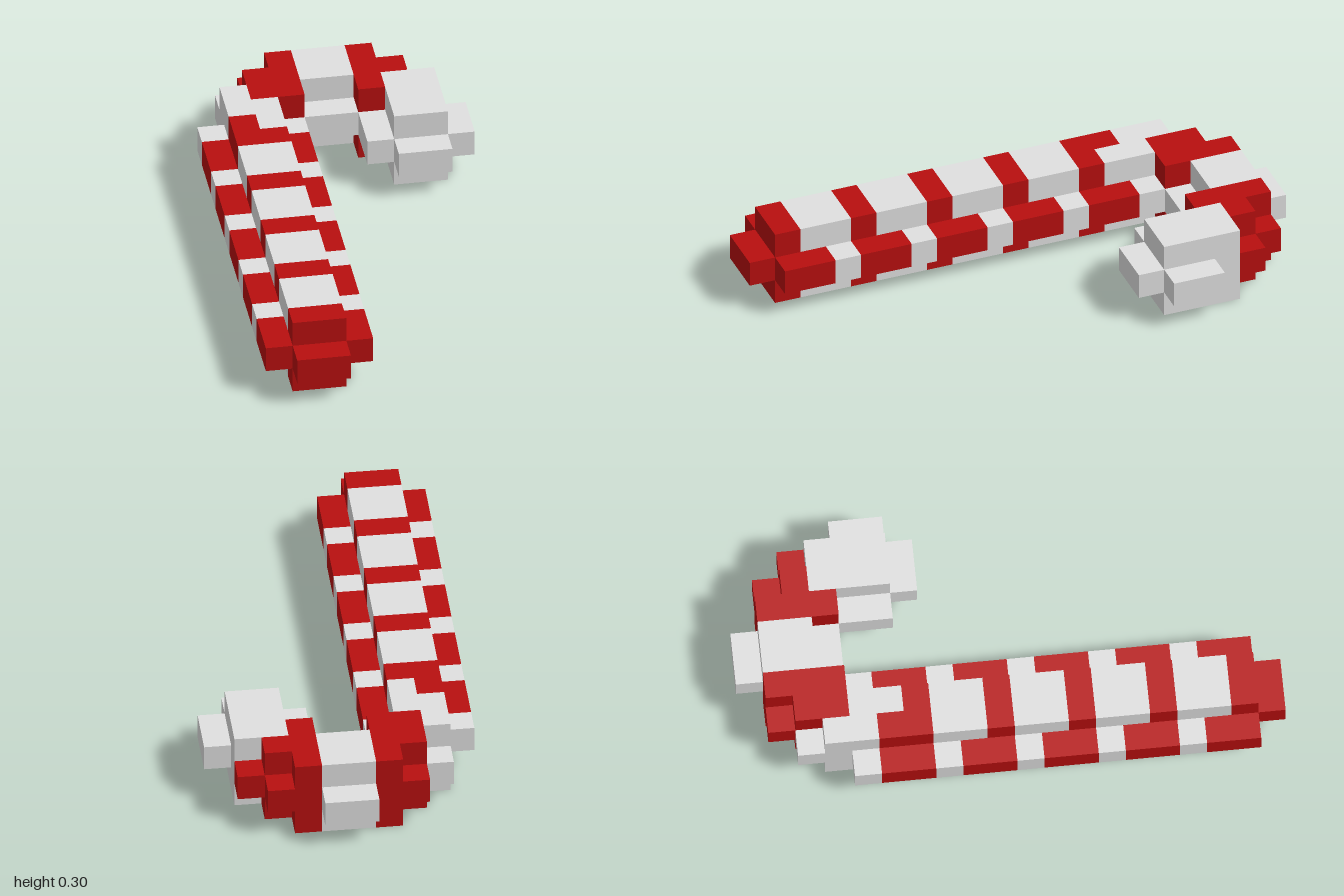
import * as THREE from 'three';

export function createModel() {
  const model = new THREE.Group();
  model.name = 'candyCane';
  const red = new THREE.MeshStandardMaterial({ color: 0xb80f0f });
  red.name = 'candy red';
  const white = new THREE.MeshStandardMaterial({ color: 0xe0e0e0 });
  white.name = 'sugar white';

  // Block between two x and two z bounds, given in tenths of a unit
  const block = (name, mat, x0, x1, z0, z1, y0, y1) => {
    const geo = new THREE.BoxGeometry((x1 - x0) / 10, (y1 - y0) / 10, (z1 - z0) / 10);
    const mesh = new THREE.Mesh(geo, mat);
    mesh.position.set((x0 + x1) / 20, (y0 + y1) / 20, (z0 + z1) / 20);
    mesh.name = name;
    model.add(mesh);
  };
  // Full height core, and the middle layer that rounds it off
  const core = (name, mat, x0, x1, z0, z1) => block(name, mat, x0, x1, z0, z1, 0, 3);
  const ridge = (name, mat, x0, x1, z0, z1) => block(name, mat, x0, x1, z0, z1, 1, 2);

  // Striped shaft, with the side ridges' stripes trailing back
  for (const z of [8, 5, 2, -1, -4]) {
    core('shaftRedStripe', red, -4, -2, z, z + 1);
    if (z > -4) core('shaftWhiteStripe', white, -4, -2, z - 2, z);
    for (const x of [-5, -2]) {
      ridge('sideRedStripe', red, x, x + 1, z - 1, z + 1);
      ridge('sideWhiteStripe', white, x, x + 1, z - 2, z - 1);
    }
  }
  ridge('shaftTip', red, -4, -2, 9, 10);

  // Slanted stripes where the shaft starts to bend
  core('bendRedStripe', red, -4, -3, -5, -4);
  core('bendWhiteInner', white, -3, -2, -6, -4);
  core('bendWhiteOuter', white, -4, -3, -7, -5);
  ridge('bendWhiteCorner', white, -4, -3, -8, -7);

  // Red section on the shaft side of the hook
  core('hookRedOuter', red, -3, -2, -8, -6);
  core('hookRedInner', red, -2, -1, -9, -6);
  ridge('hookRedCorner', red, -3, -2, -9, -8);

  // White crown of the hook
  core('crown', white, -1, 1, -9, -7);
  ridge('crownBack', white, -1, 1, -10, -9);
  ridge('crownInside', white, -1, 1, -7, -6);

  // Red section on the far side of the hook
  core('farRedInner', red, 1, 2, -9, -6);
  core('farRedOuter', red, 2, 3, -8, -7);
  ridge('farRedCorner', red, 2, 3, -9, -8);
  ridge('farRedSide', red, 3, 4, -8, -7);

  // White end of the hook
  core('hookEnd', white, 2, 4, -7, -4);
  ridge('hookEndInside', white, 1, 2, -6, -4);
  ridge('hookEndOutside', white, 4, 5, -6, -4);
  ridge('hookEndTip', white, 2, 4, -4, -3);

  return model;
}
